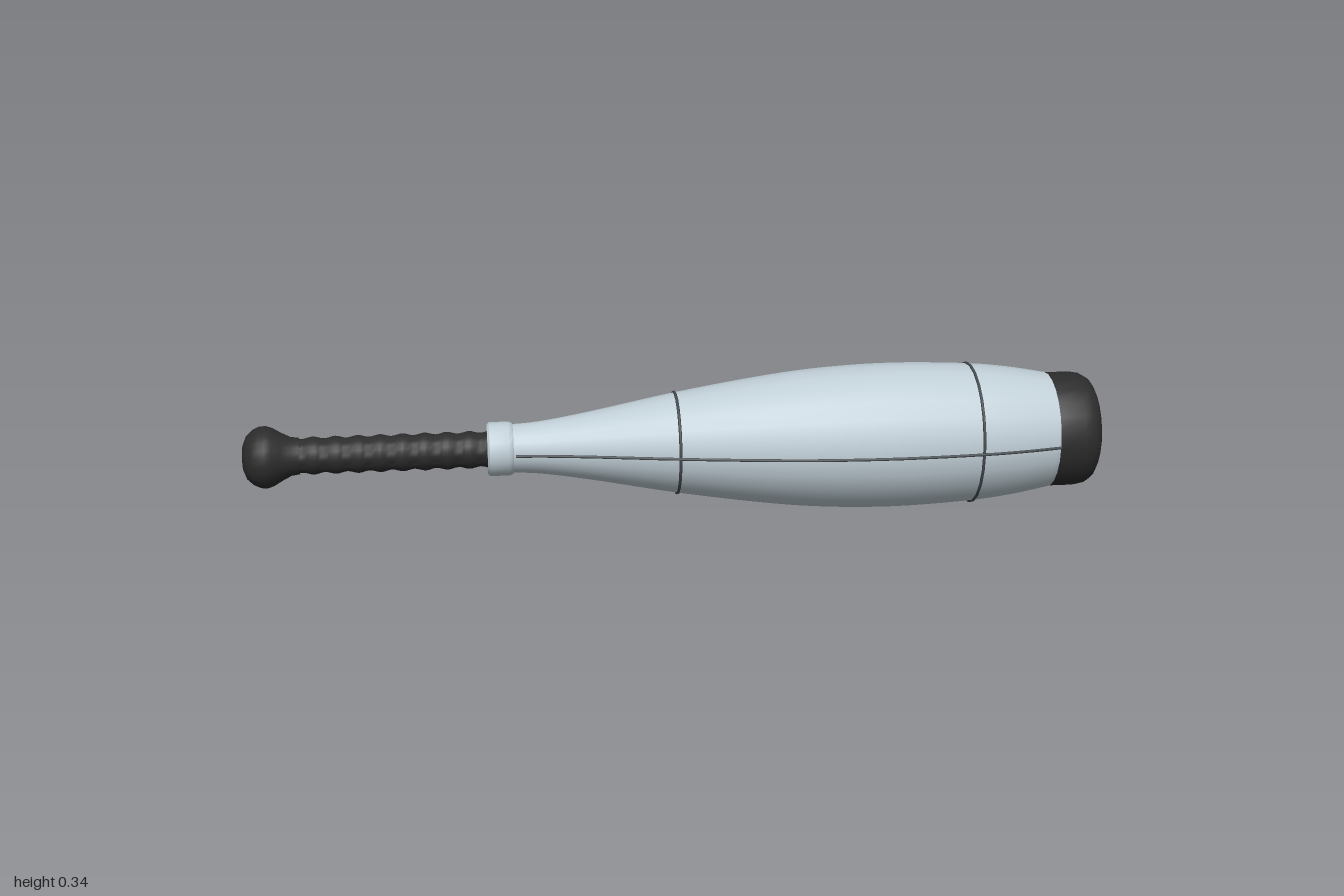
import * as THREE from 'three';
import { toCreasedNormals } from 'three/addons/utils/BufferGeometryUtils.js';

const SIDES = 24;
const AXIS_Y = 0.174;

export function createModel() {
  const model = new THREE.Group();
  model.name = 'club';
  const club = new THREE.Group();
  club.name = 'turnedParts';
  club.position.y = AXIS_Y;
  model.add(club);

  const shell = new THREE.MeshStandardMaterial({ color: 0xc0ced6 });
  const rubber = new THREE.MeshStandardMaterial({ color: 0x2c2c2d });
  const seamGrey = new THREE.MeshStandardMaterial({ color: 0x454b50 });

  const add = (name, geometry, material) => {
    const mesh = new THREE.Mesh(geometry, material);
    mesh.name = name;
    club.add(mesh);
    return mesh;
  };

  // Turns a profile of [x, radius] pairs around the long axis
  const turn = (name, profile, material) => {
    const points = profile.map(([x, r]) => new THREE.Vector2(r, x));
    const geometry = new THREE.LatheGeometry(points, SIDES).rotateZ(-Math.PI / 2);
    return add(name, toCreasedNormals(geometry, 0.7), material);
  };

  // Body: a smooth curve through a few radii
  const bodyCurve = new THREE.SplineCurve([
    [-0.40, 0.056], [-0.32, 0.061], [-0.2, 0.08], [0, 0.118], [0.2, 0.149],
    [0.35, 0.165], [0.52, 0.171], [0.7, 0.164], [0.8, 0.153], [0.89, 0.137],
  ].map(([x, r]) => new THREE.Vector2(x, r)));
  const bodyPoints = bodyCurve.getPoints(45);
  turn('body', [[-0.40, 0], ...bodyPoints.map((p) => [p.x, p.y]), [0.89, 0]], shell);

  // Collar where the handle enters the body
  turn('collar', [
    [-0.44, 0], [-0.44, 0.058], [-0.435, 0.063], [-0.39, 0.063],
    [-0.382, 0.06], [-0.378, 0.054],
  ], shell);

  // Ribbed grip
  const grip = [];
  for (let i = 0; i <= 72; i++) {
    const x = -0.89 + (0.46 * i) / 72;
    grip.push([x, 0.0415 + 0.0025 * Math.cos((i / 72) * Math.PI * 18)]);
  }
  turn('grip', grip, rubber);

  // Knob at the end of the grip
  turn('knob', [
    [-1, 0], [-0.998, 0.03], [-0.99, 0.05], [-0.975, 0.064], [-0.96, 0.071],
    [-0.945, 0.072], [-0.93, 0.067], [-0.91, 0.055], [-0.89, 0.045], [-0.87, 0.042],
  ], rubber);

  // Rounded cap on the thick end
  turn('endCap', [
    [0.878, 0], [0.878, 0.133], [0.885, 0.136], [0.95, 0.136], [0.972, 0.132],
    [0.988, 0.122], [0.996, 0.108], [0.999, 0.08], [1, 0],
  ], rubber);

  // Thin bands around the body
  for (const [x, r] of [[0, 0.118], [0.7, 0.164]]) {
    const band = new THREE.TorusGeometry(r + 0.001, 0.0035, 8, SIDES).rotateY(Math.PI / 2);
    // Align the band's corners with those of the body
    add('band', band, seamGrey).position.x = x;
  }

  // Lengthwise seams on the front and back
  for (const side of [1, -1]) {
    const path = new THREE.CatmullRomCurve3(
      bodyPoints.filter((p) => p.x > -0.385).map((p) => new THREE.Vector3(p.x, 0, side * (p.y + 0.002))),
    );
    add(side > 0 ? 'frontSeam' : 'backSeam', new THREE.TubeGeometry(path, 60, 0.0035, 6), seamGrey);
  }

  return model;
}
